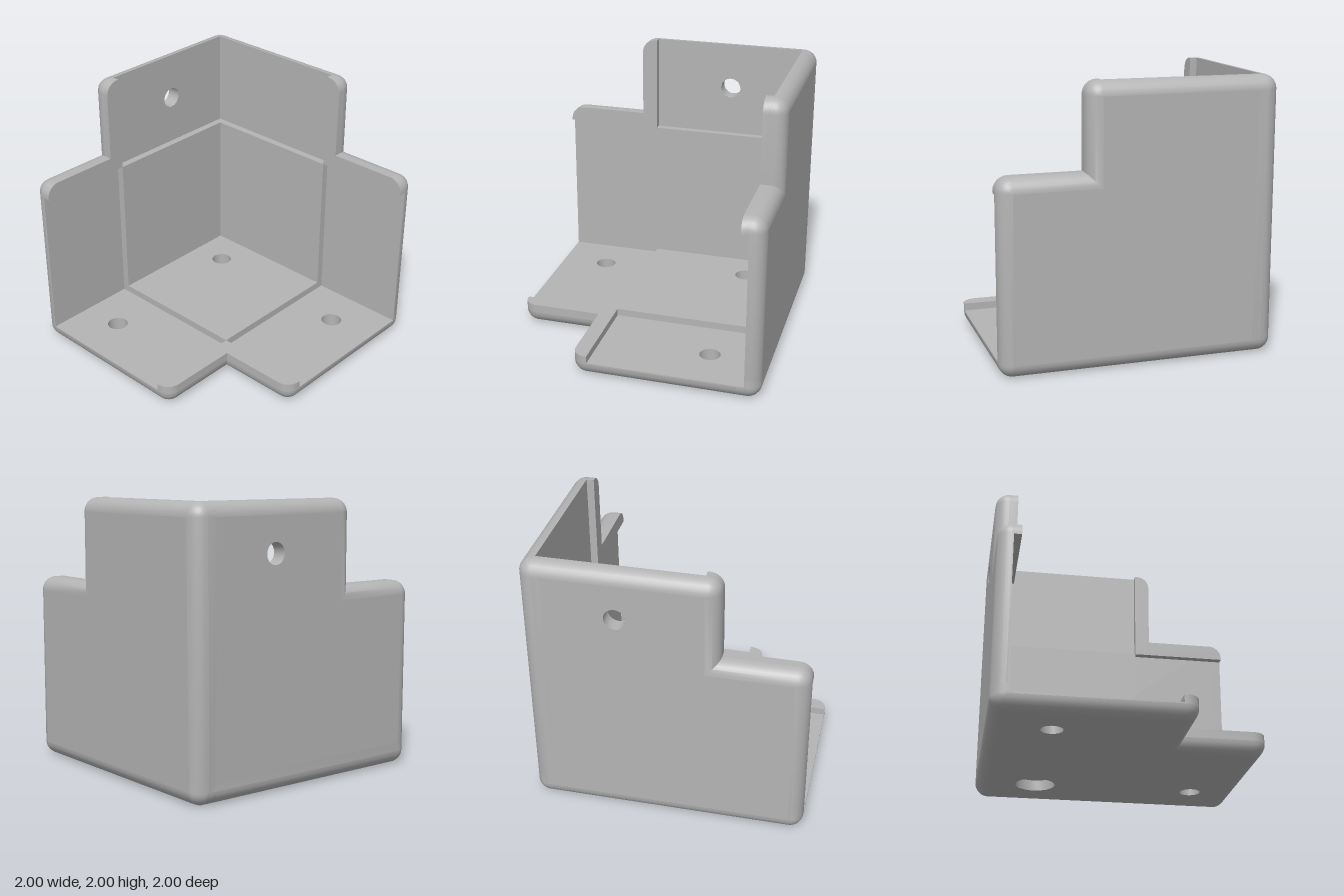
import * as THREE from 'three';
import { toCreasedNormals } from 'three/addons/utils/BufferGeometryUtils.js';

const LONG = 2, ARM = 1.383;        // arm length and arm width
const THIN = 0.11, THICK = 0.165;   // pocket wall and full wall thickness
const STEP = 1.267;                 // where pockets begin and lips start
const R = 0.1, SEG = 6;             // outer edge rounding
const HOLE = 0.078, BORE = 0.148, BORE_DEPTH = 0.08;

const crease = (g) => toCreasedNormals(g, 0.6);

// Rounded convex corner at (x, y), inset by d; quarter counts 90 degree turns
function corner(x, y, quarter, d = 0) {
  const cx = x === 0 ? R : x - R, cy = y === 0 ? R : y - R;
  return Array.from({ length: SEG + 1 }, (_, i) => {
    const a = (quarter + i / SEG) * Math.PI / 2;
    return new THREE.Vector2(cx + (R - d) * Math.cos(a), cy + (R - d) * Math.sin(a));
  });
}

const P = (x, y) => new THREE.Vector2(x, y);

// Six-cornered plate outline, counter-clockwise, inset by d
const outline = (d) => [
  ...corner(0, 0, 2, d), ...corner(LONG, 0, 3, d), ...corner(LONG, ARM, 0, d),
  P(ARM - d, ARM - d), ...corner(ARM, LONG, 0, d), ...corner(0, LONG, 1, d),
];

function shapeWithHoles(points, holes) {
  const shape = new THREE.Shape(points);
  for (const [x, y, r] of holes) {
    shape.holes.push(new THREE.Path().absarc(x, y, r, 0, Math.PI * 2, true));
  }
  return shape;
}

function slab(points, holes, from, to) {
  const g = new THREE.ExtrudeGeometry(shapeWithHoles(points, holes),
    { depth: to - from, bevelEnabled: false, curveSegments: 24 });
  return crease(g.translate(0, 0, from));
}

// Turn a geometry inside out
function flip(g) {
  const ix = g.index.array;
  for (let i = 0; i < ix.length; i += 3) [ix[i], ix[i + 1]] = [ix[i + 1], ix[i]];
  g.computeVertexNormals();
  return g;
}

// Inner wall of a round hole
function tube(x, y, r, from, to) {
  const g = new THREE.CylinderGeometry(r, r, to - from, 24, 1, true);
  return crease(flip(g.rotateX(Math.PI / 2).translate(x, y, (from + to) / 2)));
}

// Quarter-round band running around the outer edge
function roundedBand() {
  const pos = [], idx = [];
  let n = 0;
  for (let k = 0; k <= SEG; k++) {
    const a = k / SEG * Math.PI / 2;
    const ring = outline(R * (1 - Math.sin(a)));
    n = ring.length;
    for (const p of ring) pos.push(p.x, p.y, R * (1 - Math.cos(a)));
  }
  for (let k = 0; k < SEG; k++) {
    for (let i = 0; i < n; i++) {
      const a = k * n + i, b = k * n + (i + 1) % n;
      idx.push(a, b, b + n, a, b + n, a + n);
    }
  }
  const g = new THREE.BufferGeometry();
  g.setAttribute('position', new THREE.Float32BufferAttribute(pos, 3));
  g.setIndex(idx);
  return crease(g);
}

// One wall in its own plane: outer face at z = 0, inner face toward +z
function wall(name, material, holes = [], bore = null) {
  const group = new THREE.Group();
  group.name = name;
  const add = (part, geometry) => {
    const mesh = new THREE.Mesh(geometry, material);
    mesh.name = part;
    group.add(mesh);
  };
  const through = holes.map(([x, y]) => [x, y, HOLE]);
  const center = bore ? [[...bore, HOLE]] : [];

  // Outer face and its rounded edge
  const face = [P(R, R), P(LONG - R, R), P(LONG - R, ARM - R),
    P(ARM - R, ARM - R), P(ARM - R, LONG - R), P(R, LONG - R)];
  const faceHoles = bore ? [...through, [...bore, BORE]] : through;
  add('outerFace', flip(new THREE.ShapeGeometry(shapeWithHoles(face, faceHoles), 24)));
  add('roundedEdge', roundedBand());

  // Pocket floor layer
  add('pocketFloor', slab(outline(0), [...through, ...center], R, THIN));

  // Raised corner pad with side strips
  add('cornerPad', slab([
    ...corner(0, 0, 2), ...corner(LONG, 0, 3), P(LONG, THIN), P(STEP, THIN),
    P(STEP, STEP), P(THIN, STEP), P(THIN, LONG), ...corner(0, LONG, 1),
  ], center, THIN, THICK));

  // Raised lip along the free edges
  add('lip', slab([
    P(STEP, STEP), P(LONG, STEP), ...corner(LONG, ARM, 0), P(ARM, ARM),
    ...corner(ARM, LONG, 0), P(STEP, LONG),
  ], [], THIN, THICK));

  // Screw holes and the counterbored corner hole
  for (const [x, y] of holes) add('screwHole', tube(x, y, HOLE, 0, R));
  if (bore) {
    const [x, y] = bore;
    add('counterbore', tube(x, y, BORE, 0, BORE_DEPTH));
    add('counterboreSeat', flip(new THREE.RingGeometry(HOLE, BORE, 24).translate(x, y, BORE_DEPTH)));
    add('cornerHole', tube(x, y, HOLE, BORE_DEPTH, R));
  }
  return group;
}

export function createModel() {
  const model = new THREE.Group();
  model.name = 'cornerBracket';
  const gray = new THREE.MeshStandardMaterial({ color: 0xb4b4b4 });
  gray.name = 'gray';

  const back = wall('backWall', gray);
  const floor = wall('floor', gray, [[0.44, 1.637], [1.637, 0.438]], [0.44, 0.438]);
  const side = wall('sideWall', gray, [[1.643, 0.67]]);

  // The three walls share one corner and are cyclic turns of each other
  const X = new THREE.Vector3(1, 0, 0), Y = new THREE.Vector3(0, 1, 0), Z = new THREE.Vector3(0, 0, 1);
  floor.quaternion.setFromRotationMatrix(new THREE.Matrix4().makeBasis(Z, X, Y));
  side.quaternion.setFromRotationMatrix(new THREE.Matrix4().makeBasis(Y, Z, X));
  for (const w of [back, floor, side]) {
    w.position.set(-1, 0, -1);
    model.add(w);
  }
  return model;
}
